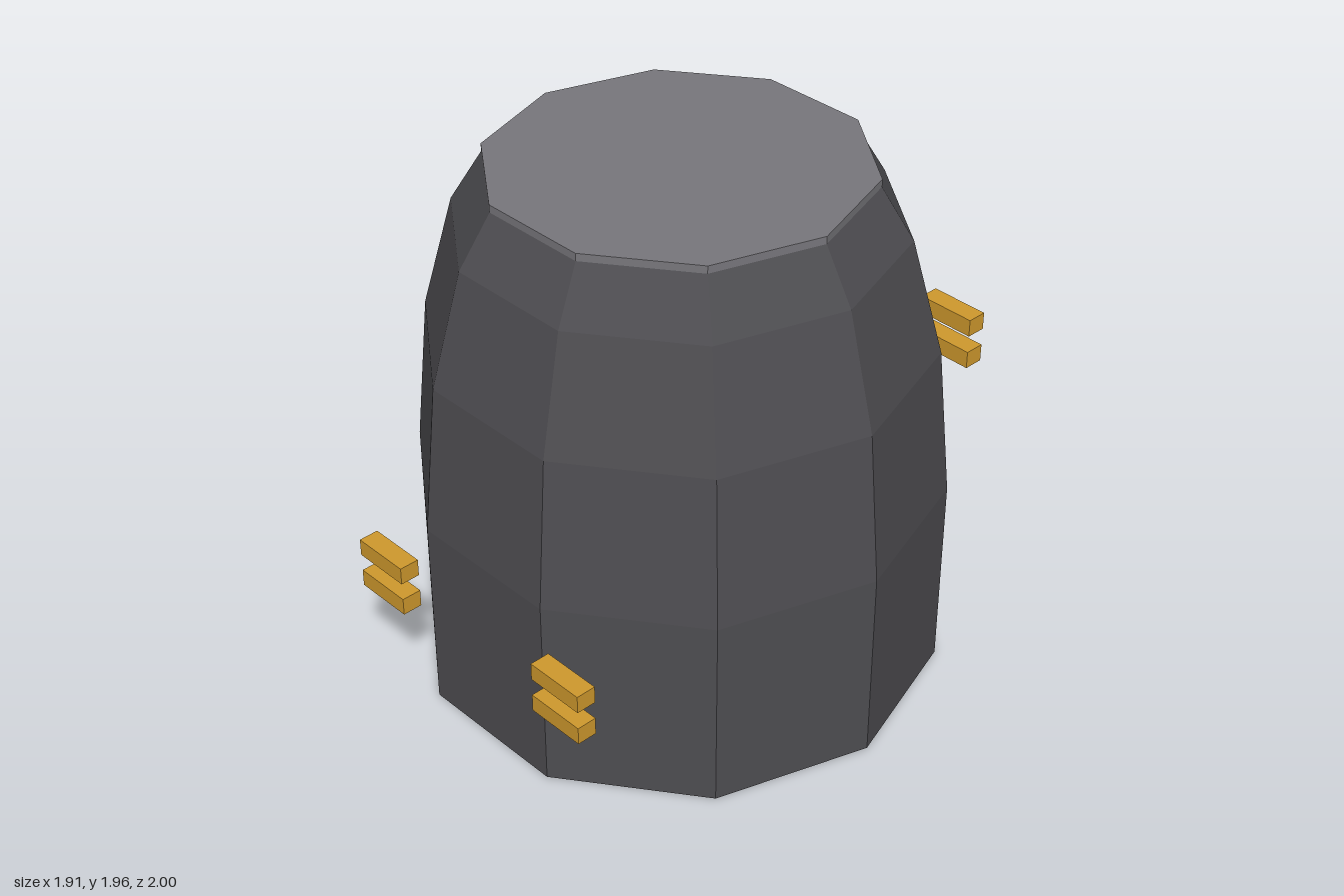
import * as THREE from 'three';

const SIDES = 10;

// Ten-sided faceted solid from a bottom-to-top profile, with a corner on the x axis
function facetedLathe(profile) {
  const points = profile.map(([r, y]) => new THREE.Vector2(r, y));
  const geometry = new THREE.LatheGeometry(points, SIDES, Math.PI / 2).toNonIndexed();
  geometry.computeVertexNormals();
  return geometry;
}

export function createModel() {
  const charcoal = new THREE.MeshStandardMaterial({ color: 0x4e4d51 });
  charcoal.name = 'charcoal';
  const grey = new THREE.MeshStandardMaterial({ color: 0x78777c });
  grey.name = 'lidGrey';
  const gold = new THREE.MeshStandardMaterial({ color: 0xcf992d });
  gold.name = 'gold';

  const model = new THREE.Group();
  const add = (name, geometry, material, x = 0, y = 0, z = 0) => {
    const mesh = new THREE.Mesh(geometry, material);
    mesh.name = name;
    mesh.position.set(x, y, z);
    model.add(mesh);
  };

  // Tapering body
  add('body', facetedLathe([
    [0, 0], [0.957, 0], [0.957, 0.745], [0.902, 1.31],
    [0.787, 1.735], [0.668, 1.932], [0, 1.932],
  ]), charcoal);

  // Thin flat lid
  add('lid', facetedLathe([
    [0, 1.927], [0.672, 1.927], [0.672, 1.955], [0, 1.955],
  ]), grey);

  // Pairs of floating bars: low at the front, higher at the back
  const bar = new THREE.BoxGeometry(0.23, 0.067, 0.076);
  for (const side of [1, -1]) {
    const label = side > 0 ? 'left' : 'right';
    for (const lift of [0, 0.135]) {
      add(label + 'FrontBar', bar, gold, side * 0.46, 0.426 + lift, 0.962);
      add(label + 'BackBar', bar, gold, side * 0.415, 1.004 + lift, -0.962);
    }
  }
  return model;
}
